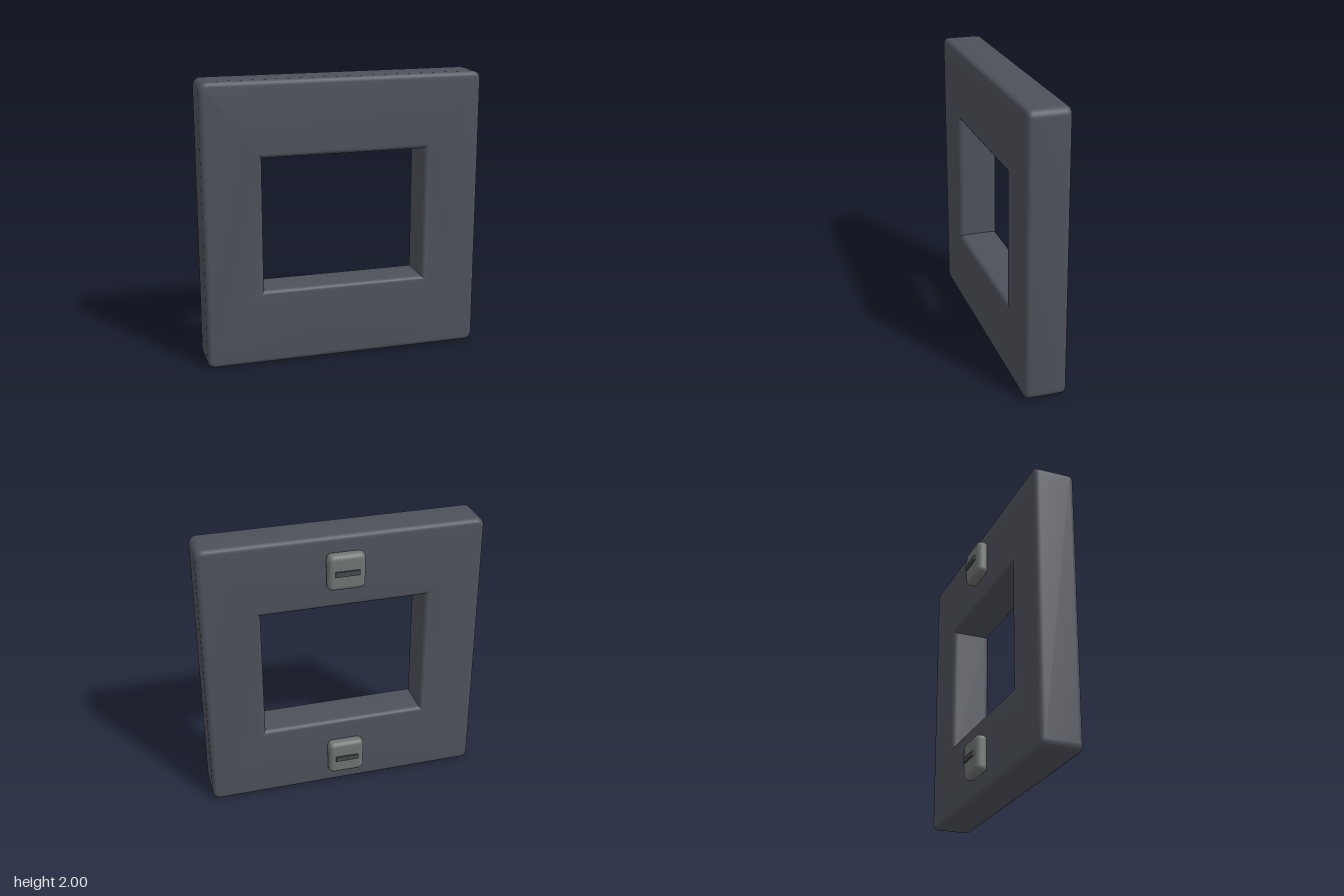
import * as THREE from 'three';
import { toCreasedNormals } from 'three/addons/utils/BufferGeometryUtils.js';
import { RoundedBoxGeometry } from 'three/addons/geometries/RoundedBoxGeometry.js';

const BEVEL = 0.035;

// Rectangle centred on (0, 0) with rounded corners
function roundedRect(halfW, halfH, r) {
  const s = new THREE.Shape();
  const x = halfW - r, y = halfH - r;
  s.absarc(x, y, r, 0, Math.PI / 2);
  s.absarc(-x, y, r, Math.PI / 2, Math.PI);
  s.absarc(-x, -y, r, Math.PI, Math.PI * 1.5);
  s.absarc(x, -y, r, Math.PI * 1.5, Math.PI * 2);
  s.closePath();
  return s;
}

export function createModel() {
  const frameMat = new THREE.MeshStandardMaterial({ color: 0x4d515a });
  frameMat.name = 'slate grey';
  const padMat = new THREE.MeshStandardMaterial({ color: 0x6e7472 });
  padMat.name = 'light grey';
  const barMat = new THREE.MeshStandardMaterial({ color: 0x43484a });
  barMat.name = 'dark grey';

  const model = new THREE.Group();
  model.name = 'squareFrame';

  // Thick frame with softened edges and a mitred window
  const outline = roundedRect(0.988 - BEVEL, 1 - BEVEL, 0.02);
  const hw = 0.578 + BEVEL, hh = 0.468 + BEVEL, cy = 0.004;
  outline.holes.push(new THREE.Path([
    new THREE.Vector2(-hw, cy - hh), new THREE.Vector2(-hw, cy + hh),
    new THREE.Vector2(hw, cy + hh), new THREE.Vector2(hw, cy - hh),
  ]));
  const depth = 0.29;
  const frameGeo = new THREE.ExtrudeGeometry(outline, {
    depth: depth - 2 * BEVEL, bevelThickness: BEVEL, bevelSize: BEVEL,
    bevelSegments: 5, curveSegments: 4,
  });
  frameGeo.translate(0, 1, -0.1 + BEVEL);
  const frame = new THREE.Mesh(toCreasedNormals(frameGeo, 0.6), frameMat);
  frame.name = 'frame';
  model.add(frame);

  // Two rounded pads on the back, each with a raised bar
  const padGeo = new RoundedBoxGeometry(0.262, 0.262, 0.09, 3, 0.038);
  const barGeo = new THREE.BoxGeometry(0.17, 0.036, 0.03);
  for (const [label, y] of [['upper', 1.76], ['lower', 0.25]]) {
    const clip = new THREE.Group();
    clip.name = label + 'BackClip';
    clip.position.set(0, y, -0.132);
    const pad = new THREE.Mesh(padGeo, padMat);
    pad.name = 'pad';
    const bar = new THREE.Mesh(barGeo, barMat);
    bar.name = 'bar';
    bar.position.z = -0.043;
    clip.add(pad, bar);
    model.add(clip);
  }
  return model;
}
